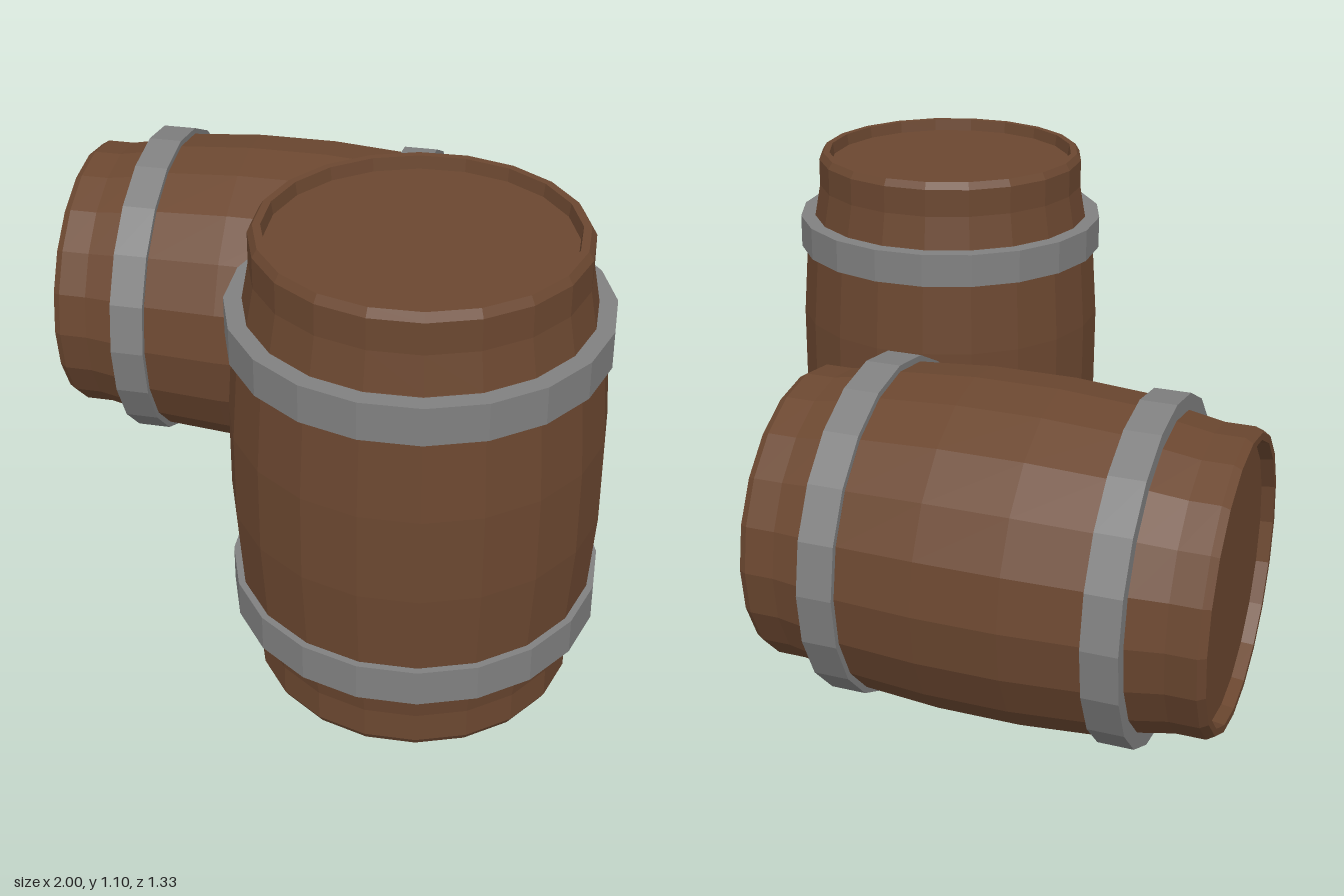
import * as THREE from 'three';

const SIDES = 20;
const wood = new THREE.MeshStandardMaterial({ color: 0x6b4730, flatShading: true });
const iron = new THREE.MeshStandardMaterial({ color: 0x808080, flatShading: true });

function lathe(name, profile, material) {
  const points = profile.map(([r, y]) => new THREE.Vector2(r, y));
  const mesh = new THREE.Mesh(new THREE.LatheGeometry(points, SIDES), material);
  mesh.name = name;
  return mesh;
}

// One barrel, centred on its own origin with its axis along y
function createBarrel(name) {
  const barrel = new THREE.Group();
  barrel.name = name;

  // Upper half from belly to rim, then down to the sunken lid
  const upper = [
    [0.408, 0.1], [0.395, 0.285], [0.371, 0.372], [0.356, 0.455],
    [0.356, 0.525], [0.345, 0.543], [0.328, 0.543], [0.324, 0.513], [0, 0.513],
  ];
  const lower = upper.map(([r, y]) => [r, -y]).reverse();
  barrel.add(lathe('stavesAndLids', [...lower, ...upper], wood));

  // Iron hoops, mirrored about the belly
  for (const side of [1, -1]) {
    const h = 0.0425;
    const hoop = lathe(side > 0 ? 'upperHoop' : 'lowerHoop',
      [[0.36, -h], [0.41, -h], [0.41, h], [0.36, h], [0.36, -h]], iron);
    hoop.position.y = side * 0.328;
    barrel.add(hoop);
  }
  return barrel;
}

export function createModel() {
  const model = new THREE.Group();
  model.name = 'barrels';

  const standing = createBarrel('standingBarrel');
  standing.position.set(0.585, 0.568, 0.25);

  // Second barrel on its side, turned diagonally
  const lying = createBarrel('lyingBarrel');
  lying.position.set(-0.372, 0.418, -0.042);
  lying.rotation.set(0, THREE.MathUtils.degToRad(43.2), -Math.PI / 2);

  model.add(standing, lying);
  return model;
}
